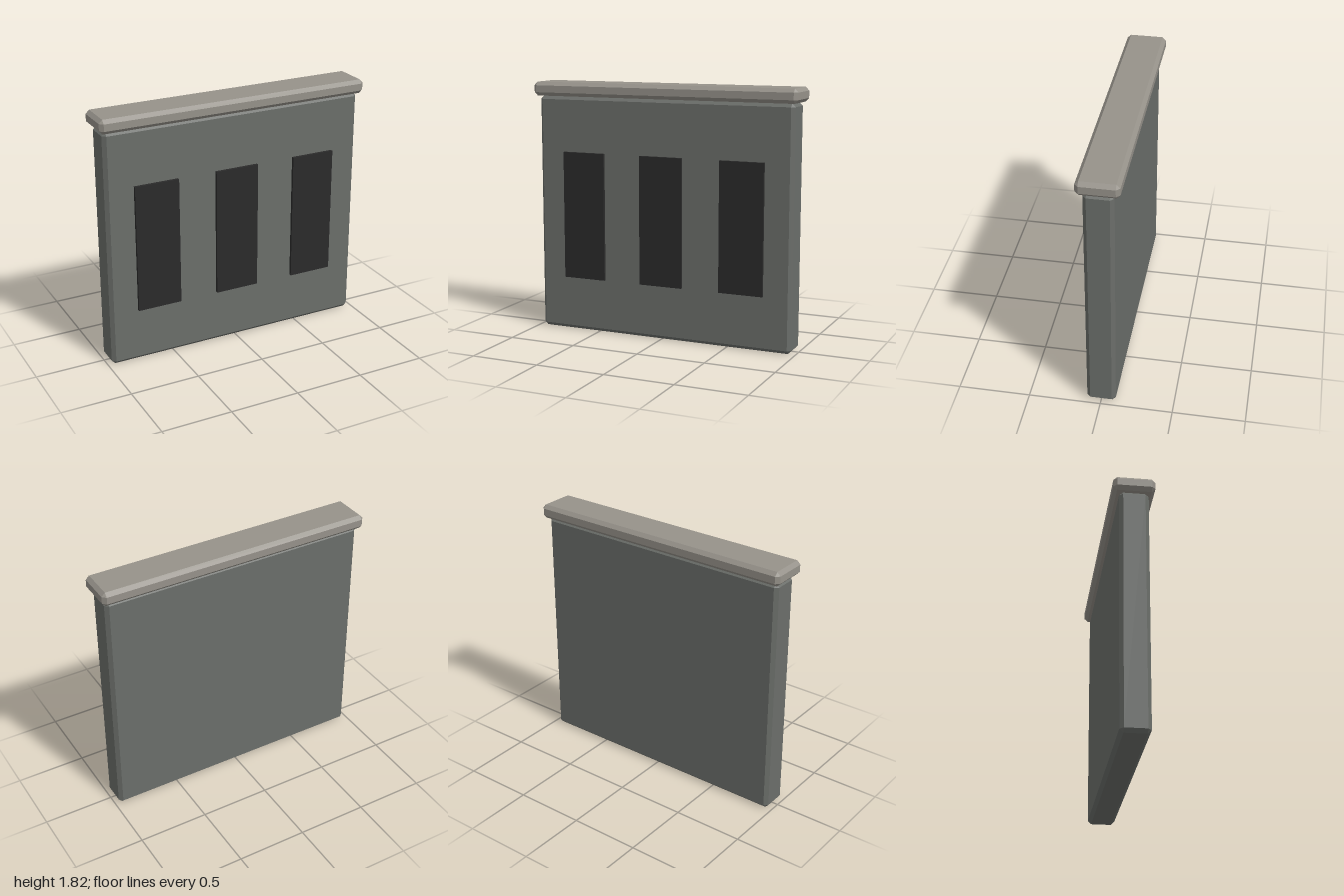
import * as THREE from 'three';
import { ConvexGeometry } from 'three/addons/geometries/ConvexGeometry.js';

const material = (name, color) => {
  const m = new THREE.MeshStandardMaterial({ color });
  m.name = name;
  return m;
};

// Box with every edge cut at 45 degrees
function chamferedBox(width, height, depth, cut) {
  const points = [];
  const [w, h, d] = [width / 2, height / 2, depth / 2];
  for (const x of [-1, 1]) for (const y of [-1, 1]) for (const z of [-1, 1]) {
    points.push(
      new THREE.Vector3(x * w, y * (h - cut), z * (d - cut)),
      new THREE.Vector3(x * (w - cut), y * h, z * (d - cut)),
      new THREE.Vector3(x * (w - cut), y * (h - cut), z * d)
    );
  }
  return new ConvexGeometry(points);
}

export function createModel() {
  const model = new THREE.Group();
  model.name = 'panelledWall';
  const wallGrey = material('wall grey', 0x6b6e6a);
  const capStone = material('cap stone', 0x96928a);
  const panelDark = material('panel charcoal', 0x2b2b2b);

  const add = (name, geometry, mat, x, y, z) => {
    const mesh = new THREE.Mesh(geometry, mat);
    mesh.name = name;
    mesh.position.set(x, y, z);
    model.add(mesh);
  };

  // Wall slab and the overhanging cap on top
  add('wall', chamferedBox(1.94, 1.72, 0.2, 0.025), wallGrey, 0, 0.86, 0);
  add('cap', chamferedBox(2, 0.1, 0.284, 0.025), capStone, 0, 1.77, 0);

  // Three dark panels standing slightly proud of the front
  const panel = new THREE.BoxGeometry(0.323, 0.926, 0.04);
  ['rightPanel', 'centrePanel', 'leftPanel'].forEach((name, i) =>
    add(name, panel, panelDark, (i - 1) * 0.606, 0.855, 0.1));

  return model;
}
